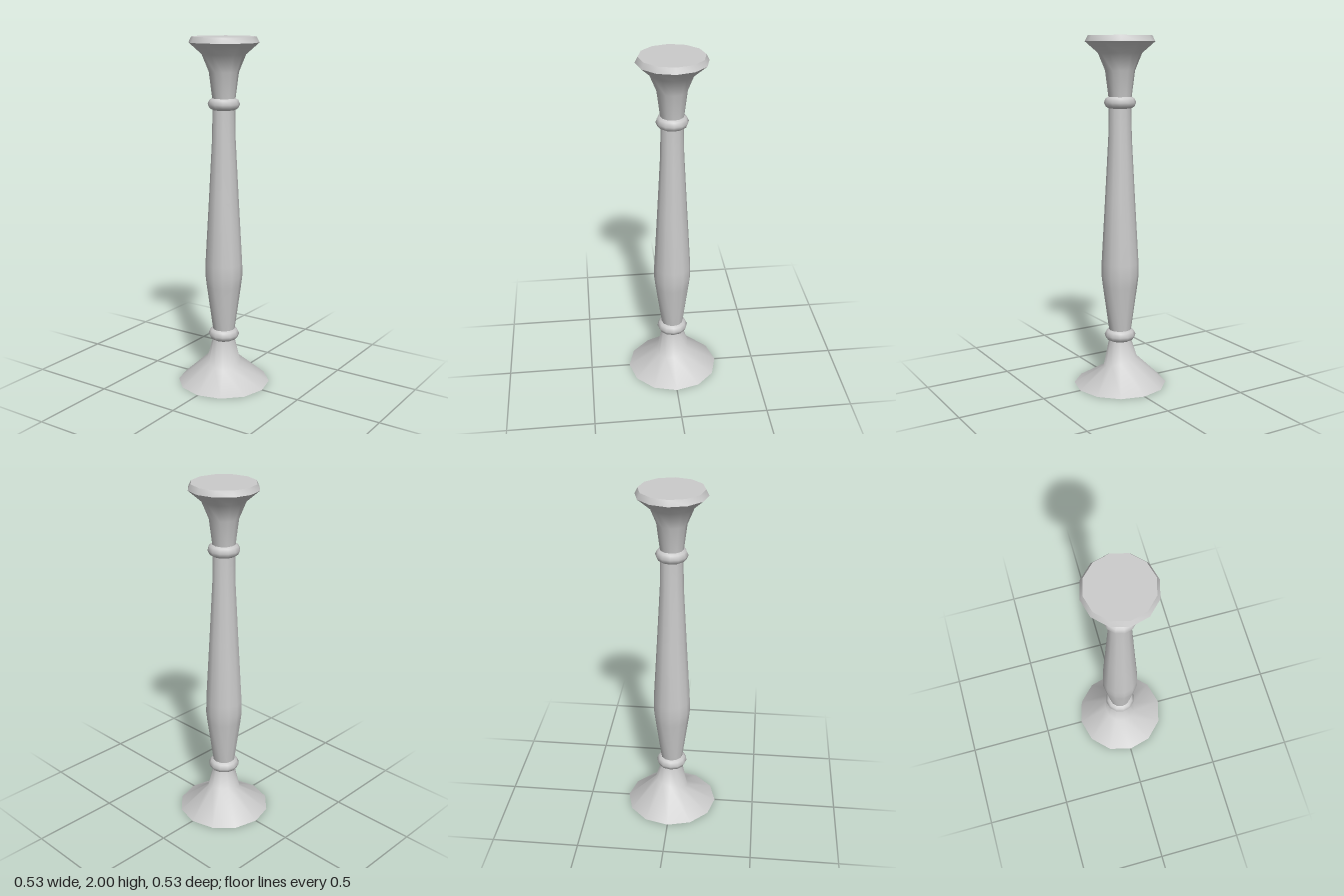
import * as THREE from 'three';
import { mergeVertices } from 'three/addons/utils/BufferGeometryUtils.js';

const SIDES = 12;
const material = new THREE.MeshStandardMaterial({ color: 0xcccccc });

// Turned section with smooth normals and no seam; bend may move each vertex
function turned(name, profile, bend) {
  let geo = new THREE.LatheGeometry(profile.map(([r, y]) => new THREE.Vector2(r, y)), SIDES);
  geo.deleteAttribute('uv');
  geo.deleteAttribute('normal');
  if (bend) {
    const p = geo.attributes.position;
    for (let i = 0; i < p.count; i++) p.setY(i, bend(p.getX(i), p.getY(i), p.getZ(i)));
  }
  geo = mergeVertices(geo, 1e-5);
  geo.computeVertexNormals();
  const mesh = new THREE.Mesh(geo, material);
  mesh.name = name;
  return mesh;
}

// Flat twelve-sided end face
function endFace(name, radius, y, up) {
  const mesh = new THREE.Mesh(new THREE.CircleGeometry(radius, SIDES), material);
  mesh.rotation.x = up ? -Math.PI / 2 : Math.PI / 2;
  mesh.position.y = y;
  mesh.name = name;
  return mesh;
}

// Rounded bead around the stem, centred on height y
function collar(name, y) {
  return turned(name, [
    [0.064, y - 0.032], [0.08, y - 0.023], [0.09, y],
    [0.08, y + 0.023], [0.064, y + 0.032],
  ]);
}

export function createModel() {
  const group = new THREE.Group();
  group.name = 'candlestick';

  // Flared foot, its waist ring slightly tilted
  const waistY = 0.132;
  group.add(
    endFace('footUnderside', 0.267, 0, false),
    turned('foot', [[0.267, 0], [0.097, waistY], [0.064, 0.265]],
      (x, y, z) => (y === Math.fround(waistY) ? y - 0.23 * x - 0.28 * z : y)),
  );

  // Stem with a bead at each end
  group.add(
    collar('lowerCollar', 0.294),
    turned('stem', [
      [0.063, 0.32], [0.1, 0.59], [0.107, 0.65], [0.106, 0.72],
      [0.085, 1.09], [0.066, 1.44], [0.063, 1.61],
    ]),
    collar('upperCollar', 1.635),
  );

  // Trumpet-shaped cup, bevelled rim and flat top
  group.add(
    turned('cup', [[0.064, 1.66], [0.083, 1.81], [0.122, 1.905], [0.194, 1.968]]),
    turned('rim', [[0.194, 1.968], [0.178, 2]]),
    endFace('topFace', 0.178, 2, true),
  );
  return group;
}
